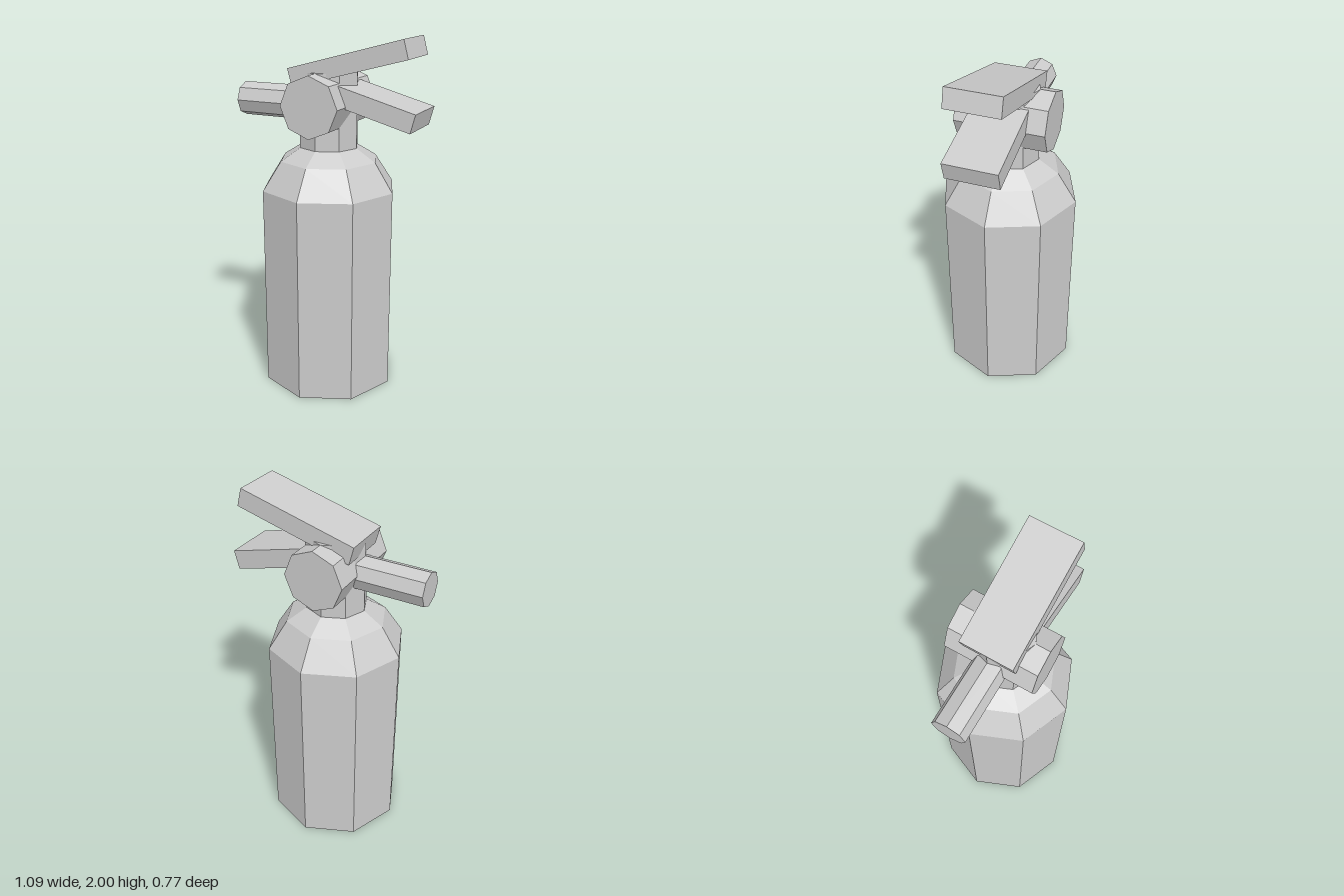
import * as THREE from 'three';

export function createModel() {
  const group = new THREE.Group();
  const material = new THREE.MeshStandardMaterial({ color: 0xcccccc, flatShading: true });
  const axisX = -0.013;
  const sides = 8;

  const add = (name, geometry, x, y, tilt = 0) => {
    const mesh = new THREE.Mesh(geometry, material);
    mesh.name = name;
    mesh.position.set(x, y, 0);
    mesh.rotation.z = tilt;
    group.add(mesh);
  };

  // Tank with sloped shoulders
  const profile = [[0, 0], [0.385, 0], [0.385, 1.16], [0.28, 1.32], [0.168, 1.39], [0, 1.39]];
  add('tank', new THREE.LatheGeometry(profile.map(([r, y]) => new THREE.Vector2(r, y)), sides), axisX, 0);

  // Neck rising from the shoulders to the levers
  add('neck', new THREE.CylinderGeometry(0.168, 0.168, 0.425, sides), axisX, 1.5925);

  // Valve drum crossing the neck front to back
  add('valveDrum', new THREE.CylinderGeometry(0.168, 0.168, 0.495, sides).rotateX(Math.PI / 2), axisX, 1.637);

  // Nozzle pointing sideways
  add('nozzle', new THREE.CylinderGeometry(0.095, 0.095, 0.5, sides).rotateZ(Math.PI / 2), -0.295, 1.62);

  // Squeeze lever and carrying handle, spreading apart
  const spread = THREE.MathUtils.degToRad(15);
  add('squeezeLever', new THREE.BoxGeometry(0.68, 0.104, 0.292), 0.152, 1.86, spread);
  add('carryHandle', new THREE.BoxGeometry(0.55, 0.104, 0.292), 0.262, 1.651, -spread);

  return group;
}
